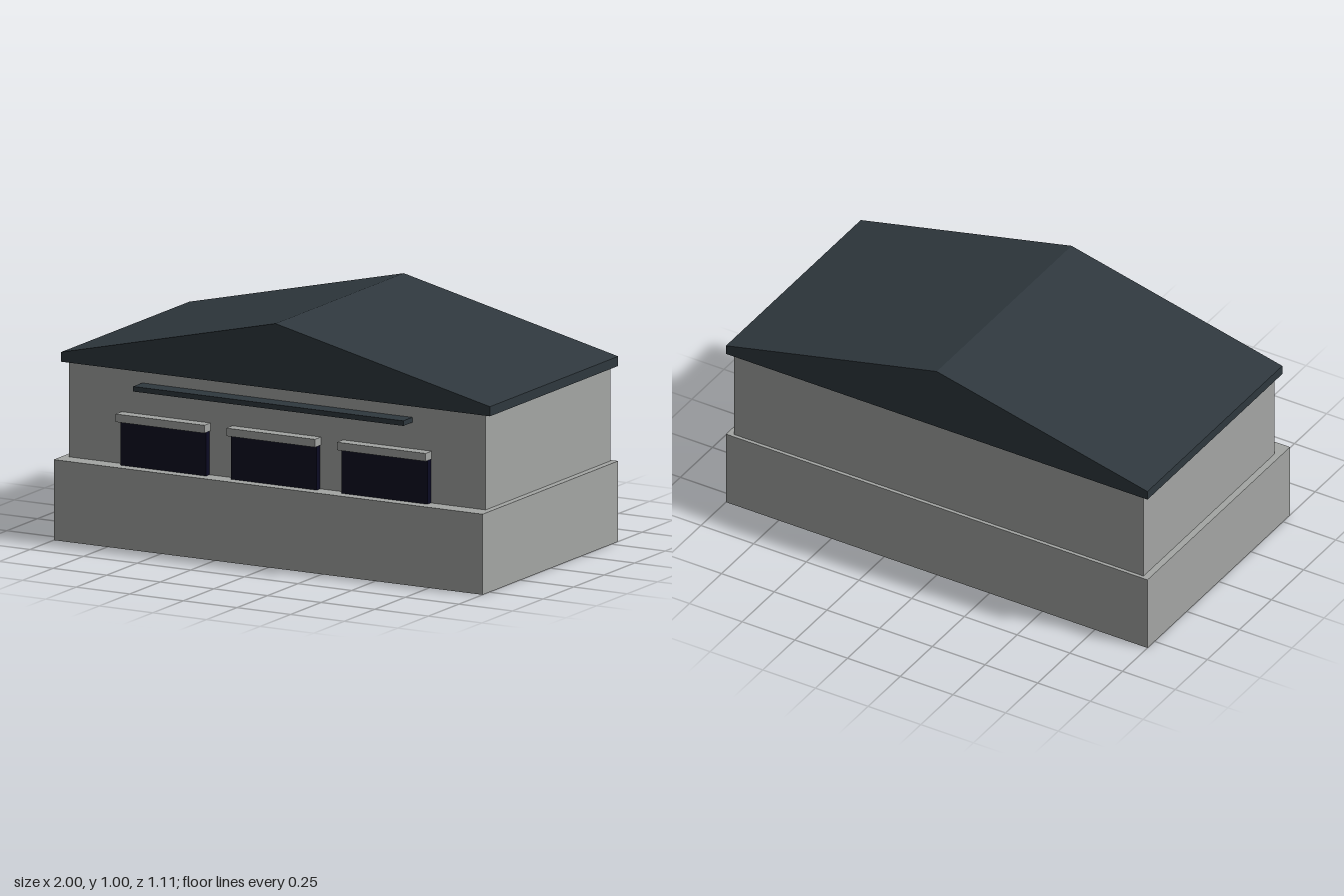
import * as THREE from 'three';

export function createModel() {
  const group = new THREE.Group();
  const material = (name, color) => {
    const m = new THREE.MeshStandardMaterial({ color });
    m.name = name;
    return m;
  };
  const concrete = material('concrete grey', 0xa4a6a4);
  const slate = material('slate', 0x2f383e);
  const glass = material('dark window', 0x0b0a22);

  // Box given by its lower and upper limits on each axis
  const box = (name, mat, [x0, x1], [y0, y1], [z0, z1]) => {
    const mesh = new THREE.Mesh(new THREE.BoxGeometry(x1 - x0, y1 - y0, z1 - z0), mat);
    mesh.position.set((x0 + x1) / 2, (y0 + y1) / 2, (z0 + z1) / 2);
    mesh.name = name;
    group.add(mesh);
  };

  // Plinth and walls
  box('plinth', concrete, [-1, 1], [0, 0.335], [-0.555, 0.555]);
  box('walls', concrete, [-0.972, 0.972], [0.335, 0.73], [-0.54, 0.481]);

  // Gabled roof with a shallow vertical fascia
  const gable = new THREE.Shape([
    [-1, 0.73], [1, 0.73], [1, 0.77], [0, 1.002], [-1, 0.77],
  ].map(([x, y]) => new THREE.Vector2(x, y)));
  const roof = new THREE.Mesh(
    new THREE.ExtrudeGeometry(gable, { depth: 1.05, bevelEnabled: false }), slate);
  roof.position.z = -0.555;
  roof.name = 'roof';
  group.add(roof);

  // Three windows, each with a projecting lintel
  for (const x of [-0.516, 0, 0.516]) {
    box('window', glass, [x - 0.2, x + 0.2], [0.335, 0.525], [0.48, 0.509]);
    box('lintel', concrete, [x - 0.207, x + 0.207], [0.519, 0.552], [0.486, 0.535]);
  }

  // Long thin canopy above the windows
  box('canopy', slate, [-0.63, 0.63], [0.66, 0.681], [0.48, 0.555]);

  return group;
}
